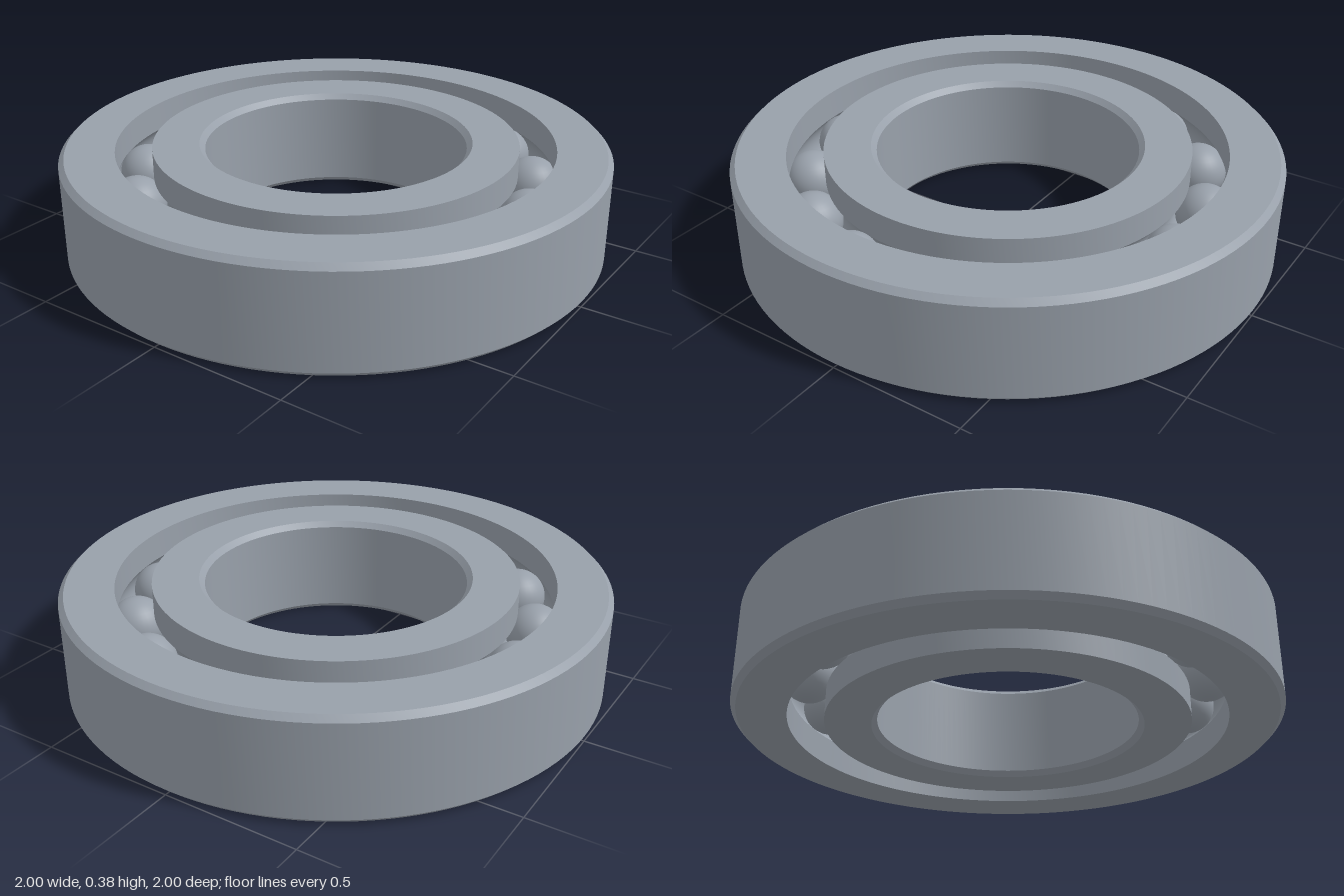
import * as THREE from 'three';
import { toCreasedNormals } from 'three/addons/utils/BufferGeometryUtils.js';

const HEIGHT = 0.385, CHAMFER = 0.02;
const BORE = 0.48, INNER_LAND = 0.67, OUTER_LAND = 0.802, OUTER = 1;
const PITCH = (INNER_LAND + OUTER_LAND) / 2;
const BALL_RADIUS = 0.106, GROOVE_RADIUS = 0.107, BALL_COUNT = 15;

// Arc of the ball groove: side -1 cuts the inner ring (upwards), +1 the outer ring (downwards)
function groove(side) {
  const half = Math.acos((OUTER_LAND - PITCH) / GROOVE_RADIUS);
  const points = [];
  for (let i = 0; i <= 14; i++) {
    const a = -side * half * (i / 7 - 1);
    points.push([PITCH + side * GROOVE_RADIUS * Math.cos(a), HEIGHT / 2 + GROOVE_RADIUS * Math.sin(a)]);
  }
  return points;
}

// Revolves a closed counter-clockwise section about the y axis
function ring(name, section, material) {
  const points = [...section, section[0]].map(([x, y]) => new THREE.Vector2(x, y));
  const mesh = new THREE.Mesh(toCreasedNormals(new THREE.LatheGeometry(points, 128), 0.5), material);
  mesh.name = name;
  return mesh;
}

export function createModel() {
  const model = new THREE.Group();
  model.name = 'ballBearing';
  const steel = new THREE.MeshStandardMaterial({ color: 0x98a0aa });
  steel.name = 'steel';

  // Inner race with chamfered bore
  model.add(ring('innerRing', [
    [BORE + CHAMFER, 0], [INNER_LAND, 0],
    ...groove(-1),
    [INNER_LAND, HEIGHT], [BORE + CHAMFER, HEIGHT],
    [BORE, HEIGHT - CHAMFER], [BORE, CHAMFER],
  ], steel));

  // Outer race with chamfered rim
  model.add(ring('outerRing', [
    [OUTER_LAND, 0], [OUTER - CHAMFER, 0],
    [OUTER, CHAMFER], [OUTER, HEIGHT - CHAMFER],
    [OUTER - CHAMFER, HEIGHT], [OUTER_LAND, HEIGHT],
    ...groove(1),
  ], steel));

  // Balls evenly spaced in the grooves, the first on the -x side
  const balls = new THREE.Group();
  balls.name = 'balls';
  const ballGeometry = new THREE.SphereGeometry(BALL_RADIUS, 32, 20);
  for (let i = 0; i < BALL_COUNT; i++) {
    const angle = Math.PI + (i / BALL_COUNT) * Math.PI * 2;
    const ball = new THREE.Mesh(ballGeometry, steel);
    ball.name = 'ball';
    ball.position.set(PITCH * Math.cos(angle), HEIGHT / 2, PITCH * Math.sin(angle));
    balls.add(ball);
  }
  model.add(balls);
  return model;
}
